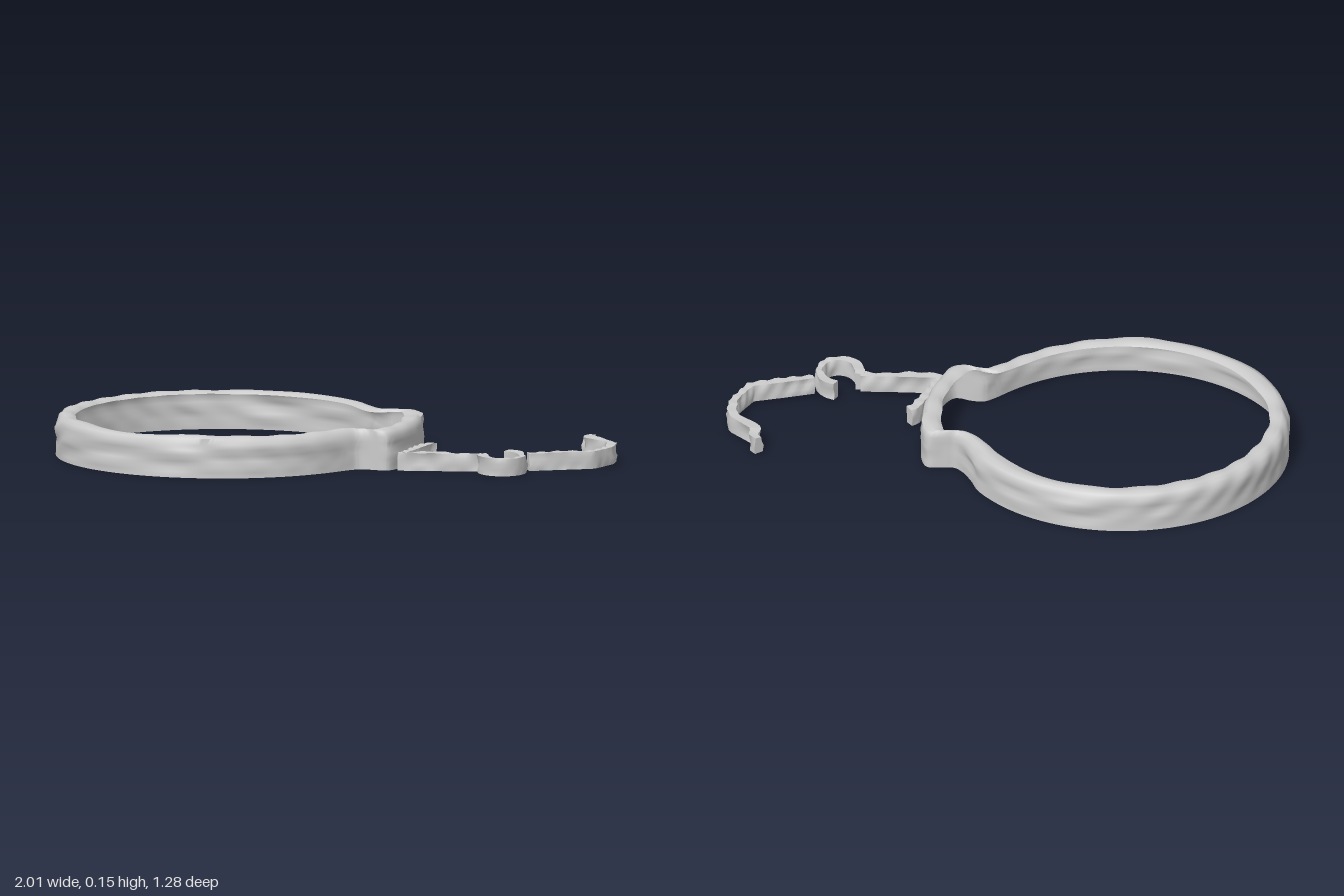
import * as THREE from 'three';
import { toCreasedNormals } from 'three/addons/utils/BufferGeometryUtils.js';

// The band is an open shell, so both sides of its surface show
const material = new THREE.MeshStandardMaterial({ color: 0xcccccc, side: THREE.DoubleSide });

// Smooth, repeatable unevenness of the hand-worked surface
const wave = (x, y, z) =>
  (Math.sin(11 * x + 75 * y + 5 * z) + Math.sin(14 * z - 95 * y + 7 * x) + Math.sin(37 * (x - z) + 60 * y)) / 3;

const curve = points =>
  new THREE.CatmullRomCurve3(points.map(([x, z]) => new THREE.Vector3(x, 0, z)), true, 'centripetal');

// Lofts a profile of [u, y] (u = 0 inner edge, u = 1 outer edge) between two edge lines:
// either an endless shell with an open profile, or a solid bar with two capped ends
function loft(outer, inner, profile, endless, bump, grain) {
  const n = outer.length, m = profile.length, pos = [], index = [];
  for (let i = 0; i < n; i++) {
    const across = outer[i].clone().sub(inner[i]).normalize();
    for (const [u, y] of profile) {
      const p = inner[i].clone().lerp(outer[i], u);
      const w = y > 0.02 ? wave(p.x * grain, y, p.z * grain) * bump : 0;
      p.addScaledVector(across, u > 0.5 ? w : -w);
      pos.push(p.x, y + w * 0.5, p.z);
    }
  }
  for (let i = 0; i < (endless ? n : n - 1); i++) {
    for (let j = 0; j < (endless ? m - 1 : m); j++) {
      const a = i * m + j, b = i * m + (j + 1) % m;
      const c = ((i + 1) % n) * m + j, d = ((i + 1) % n) * m + (j + 1) % m;
      index.push(a, b, c, b, d, c);
    }
  }
  if (!endless) {
    for (let j = 1; j < m - 1; j++) {
      const e = (n - 1) * m;
      index.push(0, j + 1, j, e, e + j, e + j + 1);
    }
  }
  const g = new THREE.BufferGeometry();
  g.setAttribute('position', new THREE.Float32BufferAttribute(pos, 3));
  g.setIndex(index);
  return toCreasedNormals(g, 1.0);
}

// Round band with a stepped bulge on its left side: outer wall and rounded top, open underneath
function ringBand() {
  // Matching outer and inner points: [outer x, outer z, inner x, inner z]
  const bulge = [
    [0.165, -0.21, 0.10, -0.19], [0.19, -0.14, 0.13, -0.12], [0.215, -0.108, 0.165, -0.095],
    [0.25, -0.102, 0.215, -0.088], [0.31, -0.092, 0.25, -0.078], [0.325, -0.05, 0.255, -0.04],
    [0.32, 0.04, 0.25, 0.04], [0.29, 0.18, 0.225, 0.17], [0.22, 0.34, 0.155, 0.31],
    [0.165, 0.408, 0.11, 0.36], [0.14, 0.405, 0.085, 0.362], [0.105, 0.385, 0.06, 0.345],
    [0.06, 0.375, 0.015, 0.33], [0.02, 0.395, -0.02, 0.345],
  ];
  const outerPts = bulge.map(p => [p[0], p[1]]);
  const innerPts = bulge.map(p => [p[2], p[3]]);
  for (let i = 0; i <= 34; i++) {
    const a = THREE.MathUtils.degToRad(54 + i * 8.3);
    outerPts.push([-0.4 + 0.6 * Math.cos(a), -0.04 + 0.6 * Math.sin(a)]);
    innerPts.push([-0.4 + 0.527 * Math.cos(a), -0.04 + 0.527 * Math.sin(a)]);
  }
  const profile = [
    [1, 0], [0.99, 0.02], [0.98, 0.04], [0.96, 0.06], [0.99, 0.08], [1, 0.1], [0.97, 0.12],
    [0.85, 0.14], [0.6, 0.148], [0.3, 0.147], [0.1, 0.142], [0, 0.138],
  ];
  const N = 294;
  const sample = pts => {
    const c = curve(pts);
    return Array.from({ length: N }, (_, i) => c.getPoint(i / N));
  };
  return loft(sample(outerPts), sample(innerPts), profile, true, 0.007, 1);
}

// Thin upright strip following a path on the ground
function strip(points, width = 0.034) {
  const path = new THREE.CurvePath();
  for (let i = 1; i < points.length; i++) {
    path.add(new THREE.LineCurve3(
      new THREE.Vector3(points[i - 1][0], 0, points[i - 1][1]),
      new THREE.Vector3(points[i][0], 0, points[i][1])));
  }
  const n = Math.ceil(path.getLength() / 0.014);
  const mid = path.getSpacedPoints(n);
  const outer = [], inner = [];
  mid.forEach((p, i) => {
    const t = mid[Math.min(i + 1, n)].clone().sub(mid[Math.max(i - 1, 0)]).normalize();
    const half = new THREE.Vector3(t.z, 0, -t.x).multiplyScalar(width / 2);
    outer.push(p.clone().add(half));
    inner.push(p.clone().sub(half));
  });
  const profile = [[1, 0.008], [1, 0.03], [0.95, 0.05], [1, 0.072], [0, 0.072], [0.05, 0.05], [0, 0.03], [0, 0.008]];
  return loft(outer, inner, profile, false, 0.008, 2.5);
}

export function createModel() {
  const group = new THREE.Group();
  const add = (name, geometry) => {
    const mesh = new THREE.Mesh(geometry, material);
    mesh.name = name;
    group.add(mesh);
  };
  add('ringBand', ringBand());

  // Bent arm that ends in an open hook
  add('bentArm', strip([[0.345, 0.22], [0.325, 0.23], [0.27, 0.335], [0.208, 0.452], [0.35, 0.475], [0.495, 0.495]]));
  const hook = Array.from({ length: 15 }, (_, i) => {
    const a = 3.5 - i * 0.34;
    return [0.567 + 0.074 * Math.cos(a), 0.527 + 0.094 * Math.sin(a)];
  });
  add('openHook', strip(hook, 0.03));

  // Separate arm that curls back at its far end
  add('curledArm', strip([
    [0.665, 0.495], [0.78, 0.475], [0.895, 0.458], [0.93, 0.41], [0.965, 0.36],
    [0.98, 0.30], [0.98, 0.235], [0.94, 0.18], [0.908, 0.135], [0.92, 0.085], [0.905, 0.06],
  ]));
  return group;
}
